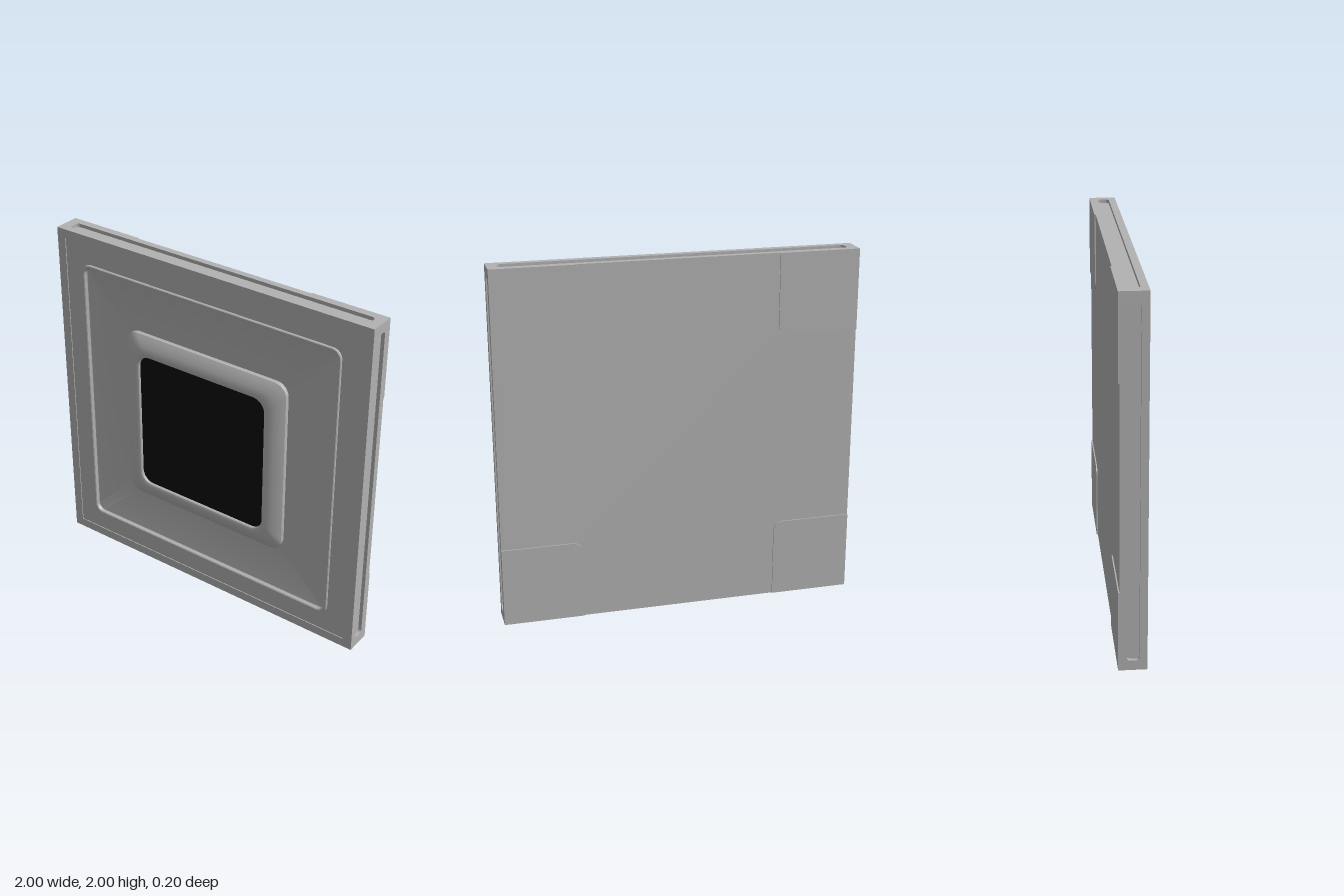
import * as THREE from 'three';
import { toCreasedNormals } from 'three/addons/utils/BufferGeometryUtils.js';

// Rounded rectangle outline, counter-clockwise, centred on (cx, cy)
function roundedPoints(hw, hh, r, cx = 0, cy = 0, seg = 8) {
  const pts = [];
  [[1, 1], [-1, 1], [-1, -1], [1, -1]].forEach(([sx, sy], k) => {
    for (let i = 0; i <= seg; i++) {
      const a = (k + i / seg) * Math.PI / 2;
      pts.push(new THREE.Vector2(
        cx + sx * (hw - r) + r * Math.cos(a),
        cy + sy * (hh - r) + r * Math.sin(a)));
    }
  });
  return pts;
}

function rectShape(x0, y0, x1, y1) {
  return new THREE.Shape([[x0, y0], [x1, y0], [x1, y1], [x0, y1]].map(p => new THREE.Vector2(...p)));
}

function extrude(shape, depth) {
  return new THREE.ExtrudeGeometry(shape, { depth, bevelEnabled: false, curveSegments: 8 });
}

// Skin through rounded squares; profile rows are [half size, corner radius, z]
function squareLoft(profile) {
  const pos = [], idx = [];
  const rings = profile.map(([h, r, z]) => roundedPoints(h, h, r).map(p => [p.x, p.y, z]));
  const n = rings[0].length;
  rings.forEach(ring => ring.forEach(p => pos.push(...p)));
  for (let i = 0; i < rings.length - 1; i++) {
    for (let j = 0; j < n; j++) {
      const a = i * n + j, b = i * n + (j + 1) % n;
      idx.push(a, b, b + n, a, b + n, a + n);
    }
  }
  const g = new THREE.BufferGeometry();
  g.setAttribute('position', new THREE.Float32BufferAttribute(pos, 3));
  g.setIndex(idx);
  return toCreasedNormals(g, 0.5);
}

export function createModel() {
  const group = new THREE.Group();
  const grey = new THREE.MeshStandardMaterial({ color: 0xb2b2b2 });
  grey.name = 'grey casing';
  const black = new THREE.MeshStandardMaterial({ color: 0x0c0c0c });
  black.name = 'black screen';

  const add = (name, geometry, material = grey, z = 0) => {
    const mesh = new THREE.Mesh(geometry, material);
    mesh.name = name;
    mesh.position.set(0, 1, z);
    group.add(mesh);
    return mesh;
  };

  const back = -0.093, face = 0.045, wall = 0.02;

  // Solid core; its sides form the floors of the edge slots
  const core = 2 - 2 * wall;
  add('core', new THREE.BoxGeometry(core, core, 0.03 - back), grey, (0.03 + back) / 2);

  // Four edge walls, each with a long rounded slot
  for (let k = 0; k < 4; k++) {
    const half = k % 2 ? 1 - wall : 1;
    const shape = rectShape(-half, -face, half, -back);
    shape.holes.push(new THREE.Path(roundedPoints(0.945, 0.033, 0.02, 0, 0.023)));
    const g = extrude(shape, wall);
    g.rotateX(-Math.PI / 2);
    g.translate(0, 1 - wall, 0);
    g.rotateZ(k * Math.PI / 2);
    add('edgeWall', g);
  }

  // Front plate with a rounded opening, and the thin lip around its border
  const plate = rectShape(-0.99, -0.99, 0.99, 0.99);
  plate.holes.push(new THREE.Path(roundedPoints(0.815, 0.815, 0.045)));
  add('frontPlate', extrude(plate, face - 0.03), grey, 0.03);
  const lip = rectShape(-1, -1, 1, 1);
  lip.holes.push(new THREE.Path(roundedPoints(0.947, 0.947, 0.003)));
  add('borderLip', extrude(lip, 0.05 - face), grey, face);

  // Raised rib, sunken panel floor
  add('ribAndPanel', squareLoft([
    [0.832, 0.055, face], [0.832, 0.055, 0.054], [0.828, 0.053, 0.058], [0.82, 0.05, 0.058],
    [0.815, 0.046, 0.055], [0.81, 0.042, 0.038], [0.805, 0.04, 0.036], [0.5, 0.06, 0.036],
  ]));

  // Domed bezel around the screen
  add('bezel', squareLoft([
    [0.526, 0.075, 0.036], [0.526, 0.075, 0.06], [0.513, 0.078, 0.07], [0.495, 0.08, 0.081],
    [0.475, 0.08, 0.091], [0.455, 0.08, 0.098], [0.44, 0.08, 0.1], [0.424, 0.078, 0.1],
    [0.418, 0.074, 0.097], [0.414, 0.07, 0.09], [0.414, 0.07, 0.082],
  ]));
  add('screen', new THREE.ShapeGeometry(new THREE.Shape(roundedPoints(0.416, 0.416, 0.071))), black, 0.084);

  // Four corner pads on the back, rounded at their inner corner
  const inner = 0.553, r = 0.06;
  for (const sx of [-1, 1]) {
    for (const sy of [-1, 1]) {
      const s = new THREE.Shape();
      s.moveTo(sx, sy);
      s.lineTo(sx * inner, sy);
      s.lineTo(sx * inner, sy * (inner + r));
      s.quadraticCurveTo(sx * inner, sy * inner, sx * (inner + r), sy * inner);
      s.lineTo(sx, sy * inner);
      s.closePath();
      add('backPad', extrude(s, 0.007), grey, -0.1);
    }
  }
  return group;
}
